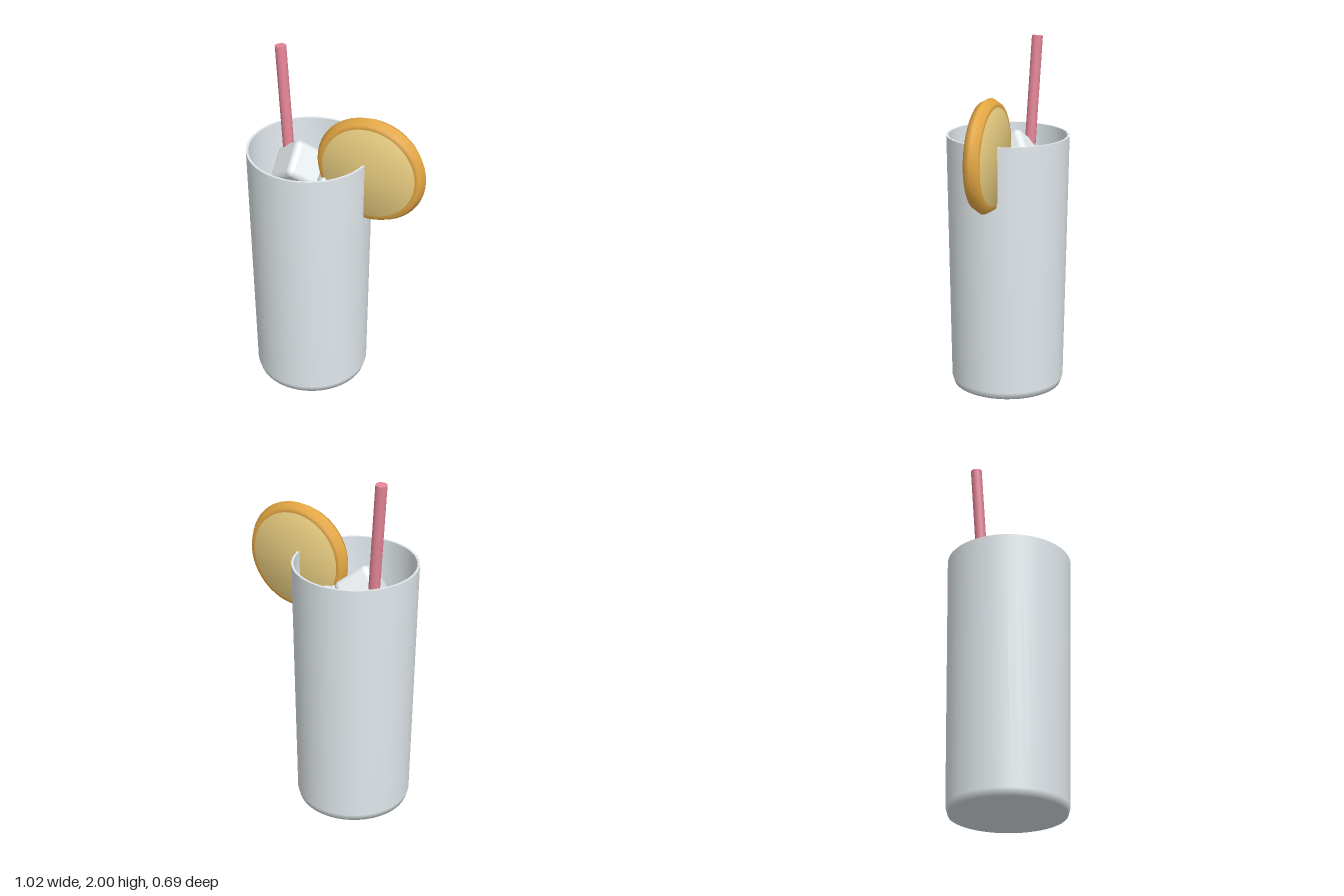
import * as THREE from 'three';
import { RoundedBoxGeometry } from 'three/addons/geometries/RoundedBoxGeometry.js';

const material = (color) => new THREE.MeshStandardMaterial({ color });
const glassMat = material(0xe2e9ed);
const iceMat = material(0xe6ebee);
const drinkMat = material(0xf0c35c);
const peelMat = material(0xe9ab45);
const fleshMat = material(0xecd083);
const strawMat = material(0xe58697);

const GLASS_X = -0.165;

function add(parent, name, geometry, mat) {
  const mesh = new THREE.Mesh(geometry, mat);
  mesh.name = name;
  parent.add(mesh);
  return mesh;
}

// Profile runs from the bottom up the outside, so faces point outwards
function lathe(points, segments = 48) {
  return new THREE.LatheGeometry(points.map(([r, y]) => new THREE.Vector2(r, y)), segments);
}

export function createModel() {
  const model = new THREE.Group();
  model.name = 'icedDrink';

  // Tapered tumbler: outside, thin rim and inside
  const glass = new THREE.Group();
  glass.name = 'glass';
  glass.position.x = GLASS_X;
  model.add(glass);
  add(glass, 'glassOutside', lathe([[0, 0], [0.312, 0], [0.324, 0.04], [0.345, 1.47]]), glassMat);
  add(glass, 'glassRim', lathe([[0.345, 1.47], [0.332, 1.47]]), glassMat);
  add(glass, 'glassInside', lathe([[0.332, 1.47], [0.312, 0.06], [0, 0.06]]), glassMat);

  // Drink filling the glass, softly shaded across its surface
  const drink = add(model, 'drink', lathe([[0, 0.065], [0.309, 0.065], [0.325, 1.13], [0, 1.13]]), drinkMat);
  drink.position.x = GLASS_X;

  // Ice cubes floating corner up: x, y, z, turn
  const cornerUp = new THREE.Quaternion().setFromUnitVectors(
    new THREE.Vector3(1, 1, 1).normalize(), new THREE.Vector3(0, 1, 0));
  const ice = new RoundedBoxGeometry(0.22, 0.22, 0.22, 4, 0.035);
  [[-0.24, 1.315, -0.03, -0.7], [-0.06, 1.19, 0, -0.8], [-0.25, 1.06, 0.06, -0.45]].forEach(([x, y, z, turn], i) => {
    const cube = add(model, `iceCube${i + 1}`, ice, iceMat);
    cube.position.set(x, y, z);
    cube.quaternion.setFromAxisAngle(new THREE.Vector3(0, 1, 0), turn).multiply(cornerUp);
  });

  // Leaning straw
  const foot = new THREE.Vector3(-0.232, 0.08, -0.03);
  const tip = new THREE.Vector3(-0.375, 1.998, -0.106);
  const along = tip.clone().sub(foot);
  const straw = add(model, 'straw', new THREE.CylinderGeometry(0.031, 0.031, along.length(), 16), strawMat);
  straw.position.copy(foot).add(tip).multiplyScalar(0.5);
  straw.quaternion.setFromUnitVectors(new THREE.Vector3(0, 1, 0), along.normalize());

  // Fruit slice on the rim: six-sided peel ring around a flat disc
  const slice = new THREE.Group();
  slice.name = 'fruitSlice';
  slice.position.set(0.195, 1.423, 0);
  model.add(slice);
  add(slice, 'peel', new THREE.TorusGeometry(0.265, 0.048, 6, 48), peelMat);
  const flesh = add(slice, 'flesh', lathe([[0, -0.047], [0.264, -0.047], [0.264, 0.047], [0, 0.047]]), fleshMat);
  flesh.rotation.x = Math.PI / 2;

  return model;
}
